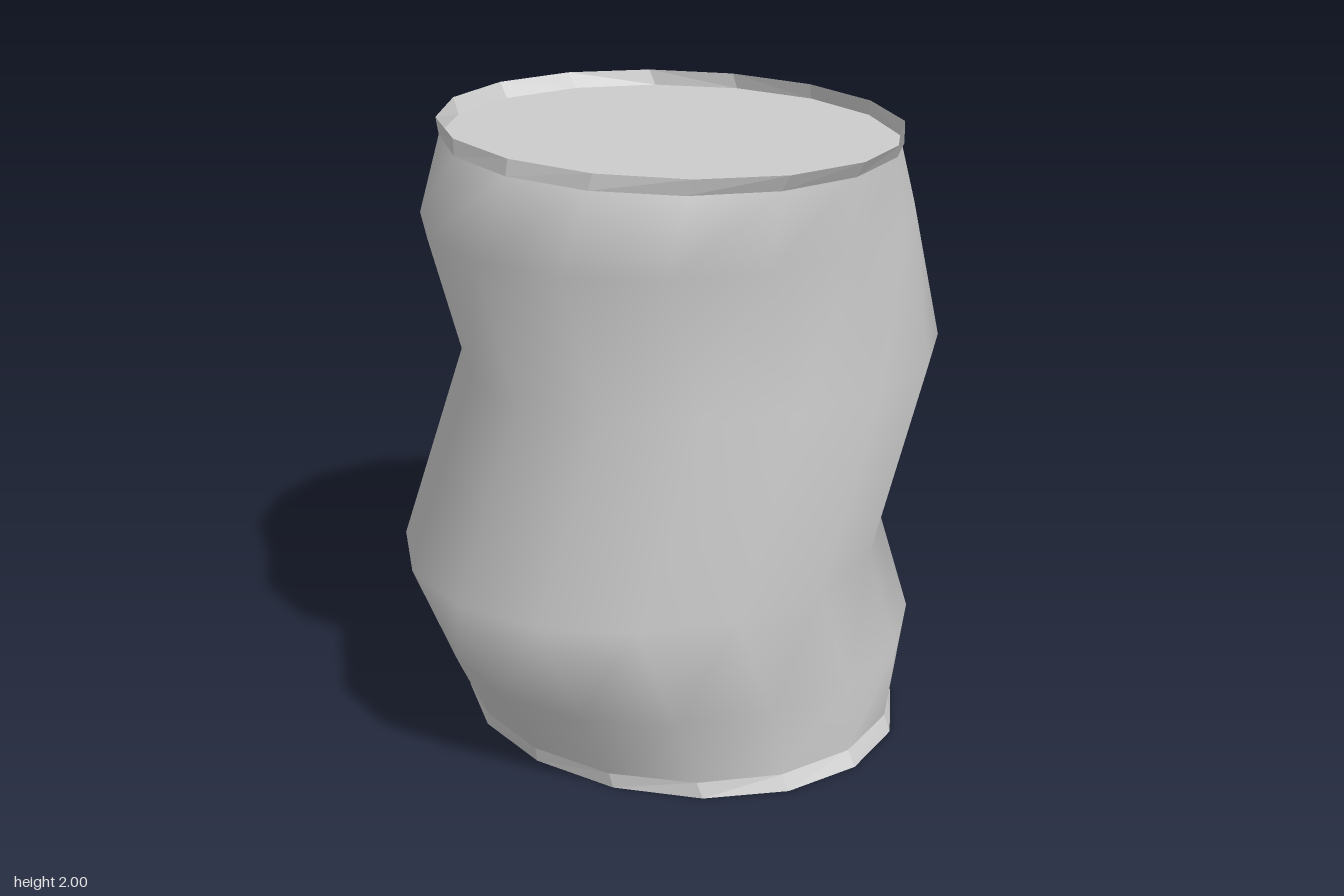
import * as THREE from 'three';

const SIDES = 16;

// Skin a stack of elliptical rings [y, centreX, radiusX, radiusZ], lowest first
function loft(rings) {
  const pos = [], index = [];
  for (const [y, cx, rx, rz] of rings) {
    for (let j = 0; j < SIDES; j++) {
      const a = (j / SIDES) * Math.PI * 2;
      pos.push(cx + rx * Math.cos(a), y, rz * Math.sin(a));
    }
  }
  for (let i = 0; i < rings.length - 1; i++) {
    for (let j = 0; j < SIDES; j++) {
      const k = (j + 1) % SIDES;
      const a = i * SIDES + j, b = i * SIDES + k;
      const c = a + SIDES, d = b + SIDES;
      index.push(a, c, b, b, c, d);
    }
  }
  const geo = new THREE.BufferGeometry();
  geo.setAttribute('position', new THREE.Float32BufferAttribute(pos, 3));
  geo.setIndex(index);
  geo.computeVertexNormals();
  return geo;
}

export function createModel() {
  const group = new THREE.Group();
  const smooth = new THREE.MeshStandardMaterial({ color: 0xcccccc });
  const flat = new THREE.MeshStandardMaterial({ color: 0xcccccc, flatShading: true, side: THREE.DoubleSide });

  const add = (name, geo, mat) => {
    const mesh = new THREE.Mesh(geo, mat);
    mesh.name = name;
    group.add(mesh);
    return mesh;
  };

  // S-bent body
  const rings = [
    [0.05, 0.03, 0.68, 0.74],
    [0.29, 0.03, 0.81, 0.74],
    [0.67, -0.135, 0.815, 0.74],
    [1.24, 0.135, 0.815, 0.74],
    [1.72, -0.02, 0.81, 0.74],
    [1.95, -0.02, 0.685, 0.74],
  ];
  add('body', loft(rings), smooth);

  // Thin flared lips at both ends
  const bottom = rings[0], top = rings[rings.length - 1];
  add('bottomRim', loft([[0, 0.03, 0.672, 0.77], bottom]), flat);
  add('topRim', loft([top, [2, -0.02, 0.675, 0.77]]), flat);

  // End discs recessed inside the lips
  const disc = (name, [y, cx, rx, rz], dir) => {
    const geo = new THREE.CircleGeometry(1, SIDES);
    geo.rotateX(-dir * Math.PI / 2).scale(rx, 1, rz).translate(cx, y, 0);
    add(name, geo, flat);
  };
  disc('bottomDisc', bottom, -1);
  disc('topDisc', top, 1);

  return group;
}
